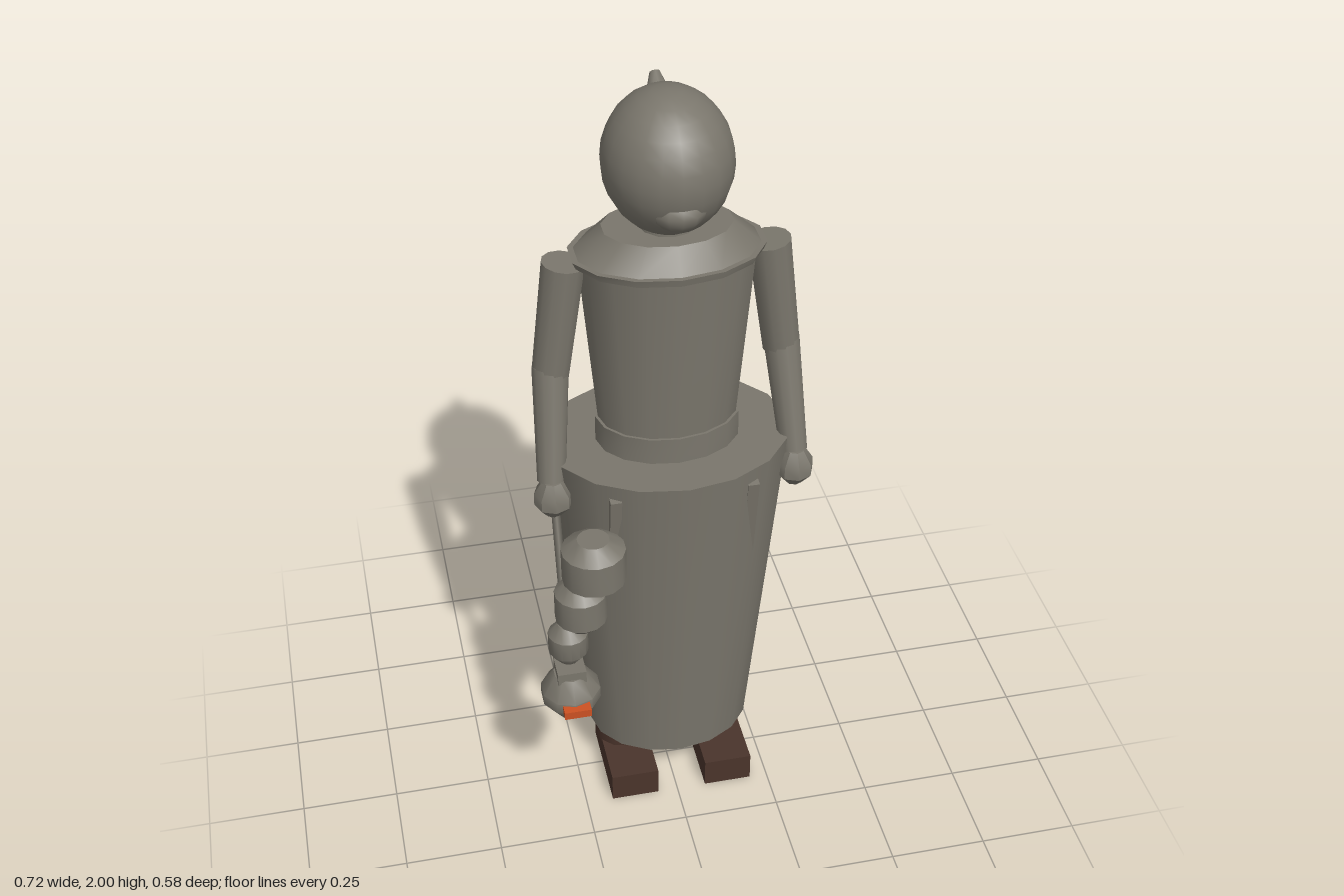
import * as THREE from 'three';
import { toCreasedNormals } from 'three/addons/utils/BufferGeometryUtils.js';

const CX = 0.012, CZ = -0.043; // centre line of the figure

export function createModel() {
  const model = new THREE.Group();
  model.name = 'robedFigure';
  const mat = (name, color) => {
    const m = new THREE.MeshStandardMaterial({ color });
    m.name = name;
    return m;
  };
  const cloth = mat('stoneGrey', 0x7a766c);
  const leather = mat('darkBrown', 0x4a342b);
  const ember = mat('orange', 0xcc5122);

  function add(name, geometry, material, x, y, z) {
    const mesh = new THREE.Mesh(geometry, material);
    mesh.name = name;
    mesh.position.set(x, y, z);
    model.add(mesh);
    return mesh;
  }

  // Elliptical frustum between two heights; each end is [rx, rz]
  function frustum(name, y0, [rx0, rz0], y1, [rx1, rz1], sides = 16) {
    const g = new THREE.CylinderGeometry(1, 1, y1 - y0, sides);
    const p = g.attributes.position;
    for (let i = 0; i < p.count; i++) {
      const up = p.getY(i) > 0;
      p.setX(i, p.getX(i) * (up ? rx1 : rx0));
      p.setZ(i, p.getZ(i) * (up ? rz1 : rz0));
    }
    g.computeVertexNormals();
    return add(name, toCreasedNormals(g, 0.6), cloth, CX, (y0 + y1) / 2, CZ);
  }

  // Round tapered bar between two points
  function bar(name, a, b, ra, rb, sides = 10, material = cloth) {
    const from = new THREE.Vector3(...a), to = new THREE.Vector3(...b);
    const dir = to.clone().sub(from);
    const mid = from.clone().add(to).multiplyScalar(0.5);
    const mesh = add(name, new THREE.CylinderGeometry(rb, ra, dir.length(), sides), material, mid.x, mid.y, mid.z);
    mesh.quaternion.setFromUnitVectors(new THREE.Vector3(0, 1, 0), dir.normalize());
    return mesh;
  }

  // Drum with sloped shoulders, profile listed from bottom to top
  function drum(name, x, z, profile, sides) {
    const pts = profile.map(([r, y]) => new THREE.Vector2(r, y));
    pts.unshift(new THREE.Vector2(0, profile[0][1]));
    pts.push(new THREE.Vector2(0, profile[profile.length - 1][1]));
    const g = toCreasedNormals(new THREE.LatheGeometry(pts, sides), 0.65);
    return add(name, g, cloth, x, 0, z);
  }

  function ellipsoid(name, x, y, z, rx, ry, rz, w = 20, h = 14) {
    add(name, new THREE.SphereGeometry(1, w, h), cloth, x, y, z).scale.set(rx, ry, rz);
  }

  // Robe and torso
  frustum('skirt', 0.14, [0.215, 0.175], 1.08, [0.303, 0.247]);
  frustum('waistband', 1.08, [0.18, 0.137], 1.15, [0.18, 0.137]);
  frustum('torso', 1.14, [0.172, 0.13], 1.6, [0.212, 0.156]);
  frustum('collarBand', 1.592, [0.226, 0.158], 1.61, [0.234, 0.162], 14);
  frustum('collar', 1.61, [0.22, 0.15], 1.668, [0.155, 0.11], 14);
  frustum('neck', 1.65, [0.07, 0.07], 1.73, [0.065, 0.065], 12);

  // Head, face and topknot
  ellipsoid('head', CX, 1.83, CZ, 0.152, 0.17, 0.169);
  ellipsoid('face', CX, 1.765, 0.07, 0.065, 0.048, 0.056, 12, 8);
  bar('topknot', [CX, 1.925, -0.12], [CX, 1.978, -0.176], 0.038, 0.012, 8);

  for (const s of [-1, 1]) {
    const X = (d) => CX + s * d;
    // Arm and hand
    bar('upperArm', [X(0.283), 1.29, -0.047], [X(0.243), 1.592, -0.045], 0.046, 0.052, 12);
    bar('forearm', [X(0.303), 1.03, 0.03], [X(0.283), 1.31, -0.047], 0.035, 0.045, 12);
    drum('hand', X(0.303), 0.045, [[0.022, 0.942], [0.047, 0.972], [0.047, 1.005], [0.025, 1.04]], 8);

    // Boot
    add('bootShaft', new THREE.CylinderGeometry(0.072, 0.072, 0.12, 12), leather, X(0.128), 0.13, -0.04);
    add('bootFoot', new THREE.BoxGeometry(0.126, 0.08, 0.253), leather, X(0.128), 0.04, 0.016);

    // Tucks running down the skirt, front and back
    for (const f of [-1, 1]) {
      const tuck = add('skirtTuck', new THREE.BoxGeometry(0.028, 0.26, 0.03), cloth, X(0.169), 0.912, CZ + f * 0.171);
      tuck.rotation.x = f * 0.17;
    }
  }

  // Stacked charms hanging beside the skirt: x, radius, low edge, high edge
  const charms = [
    [-0.22, 0.079, 0.84, 0.928],
    [-0.255, 0.065, 0.72, 0.80],
    [-0.29, 0.05, 0.618, 0.672],
  ];
  for (const [x, r, lo, hi] of charms) {
    drum('hangingCharm', x, 0.187, [[r * 0.5, lo - 0.033], [r, lo], [r, hi], [r * 0.5, hi + 0.03]], 14);
  }

  // Cord and lantern
  bar('cord', [-0.288, 0.97, 0.05], [-0.29, 0.55, 0.197], 0.011, 0.011, 4);
  add('lanternCap', new THREE.BoxGeometry(0.072, 0.035, 0.072), cloth, -0.29, 0.555, 0.197);
  drum('lantern', -0.29, 0.197, [[0.042, 0.423], [0.076, 0.47], [0.076, 0.50], [0.042, 0.55]], 10);
  add('lanternGlow', new THREE.BoxGeometry(0.068, 0.022, 0.05), ember, -0.287, 0.485, 0.265);

  return model;
}
